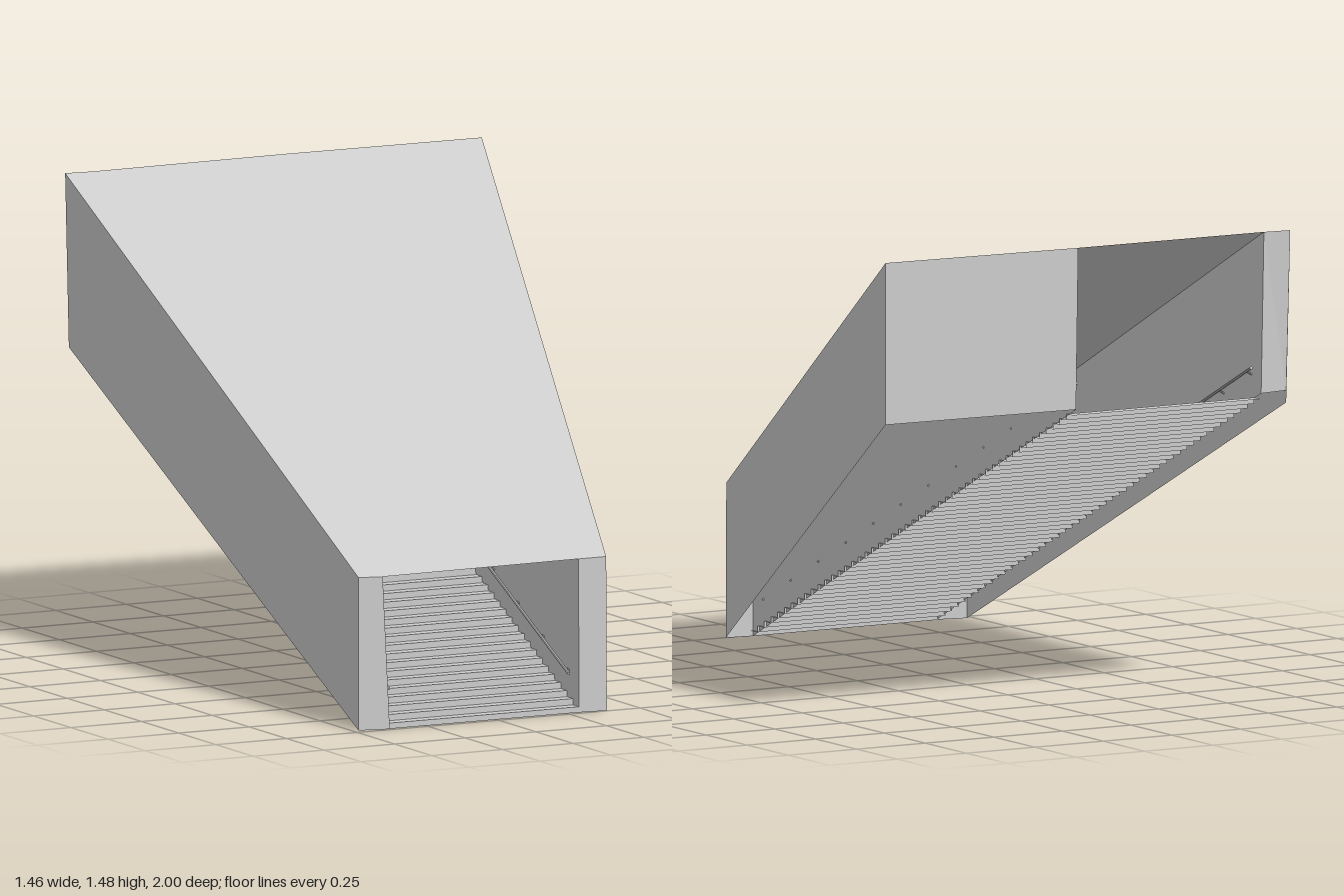
import * as THREE from 'three';

const material = new THREE.MeshStandardMaterial({ color: 0xcccccc, flatShading: true, side: THREE.DoubleSide });

// Thin sheet spanned between two rows of points
function sheet(name, rowA, rowB) {
  const pos = [], index = [];
  rowA.forEach((p, i) => {
    pos.push(...p, ...rowB[i]);
    if (i) {
      const k = 2 * i;
      index.push(k - 2, k - 1, k, k, k - 1, k + 1);
    }
  });
  const g = new THREE.BufferGeometry();
  g.setAttribute('position', new THREE.Float32BufferAttribute(pos, 3));
  g.setIndex(index);
  const flat = g.toNonIndexed();
  flat.computeVertexNormals();
  const m = new THREE.Mesh(flat, material);
  m.name = name;
  return m;
}

// Straight round bar between two points
function bar(name, a, b, r) {
  const p = new THREE.Vector3(...a), q = new THREE.Vector3(...b);
  const m = new THREE.Mesh(new THREE.CylinderGeometry(r, r, p.distanceTo(q), 8), material);
  m.position.copy(p).add(q).multiplyScalar(0.5);
  m.quaternion.setFromUnitVectors(new THREE.Vector3(0, 1, 0), q.sub(p).normalize());
  m.name = name;
  return m;
}

export function createModel() {
  const group = new THREE.Group();

  // Corner points from -x to +x: outer wall, inner wall, inner wall, outer wall
  const frontTop = [[-0.73, 0.485, 0.97], [-0.655, 0.485, 0.99], [0.04, 0.487, 0.985], [0.13, 0.49, 1]];
  const frontBottom = [[-0.73, 0, 0.97], [-0.63, 0, 0.99], [0.042, 0, 0.985], [0.135, 0, 0.995]];
  const backTop = [[-0.73, 1.478, -1], [-0.64, 1.478, -0.99], [0.04, 1.48, -0.995], [0.73, 1.482, -0.975]];
  const backBottom = [[-0.73, 0.93, -0.975], [-0.63, 0.968, -0.99], [0.045, 0.968, -0.99], [0.73, 0.97, -0.975]];

  // Sloping roof
  group.add(sheet('roof', frontTop, backTop));

  // Four lengthwise walls
  ['rightOuterWall', 'rightInnerWall', 'leftInnerWall', 'leftOuterWall'].forEach((name, i) => {
    group.add(sheet(name, [frontTop[i], backTop[i]], [frontBottom[i], backBottom[i]]));
  });

  // End panels closing the gap between inner and outer walls
  [['right', 0], ['left', 2]].forEach(([side, i]) => {
    group.add(sheet(side + 'FrontPanel', frontTop.slice(i, i + 2), frontBottom.slice(i, i + 2)));
    const bottom = backBottom.slice(i, i + 2).map(p => [p[0], Math.max(p[1], 0.968), p[2]]);
    group.add(sheet(side + 'BackPanel', backTop.slice(i, i + 2), bottom));
  });

  // Staircase as a folded sheet of treads and risers
  const steps = 48, run = 1.965 / steps, rise = 0.95 / steps;
  const profile = [[0.985, 0]];
  for (let i = 0; i < steps; i++) {
    const z = 0.985 - i * run, y = 0.018 + i * rise;
    profile.push([z, y], [z - run, y]);
  }
  group.add(sheet('stairs',
    profile.map(([z, y]) => [-0.635, y, z]),
    profile.map(([z, y]) => [0.05, y, z])));

  // Handrails with wall brackets on both sides
  [['right', -0.612, -0.635], ['left', 0.024, 0.046]].forEach(([side, x, wallX]) => {
    const rail = new THREE.Group();
    rail.name = side + 'Handrail';
    const railY = z => 0.12 + (0.95 - z) * 0.485;
    rail.add(bar('railBar', [x, railY(0.95), 0.95], [x, railY(-0.96), -0.96], 0.005));
    for (let i = 0; i < 12; i++) {
      const z = 0.92 - i * 0.168;
      rail.add(bar('bracket', [x, railY(z), z], [wallX, railY(z) - 0.012, z], 0.003));
    }
    group.add(rail);
  });

  return group;
}
